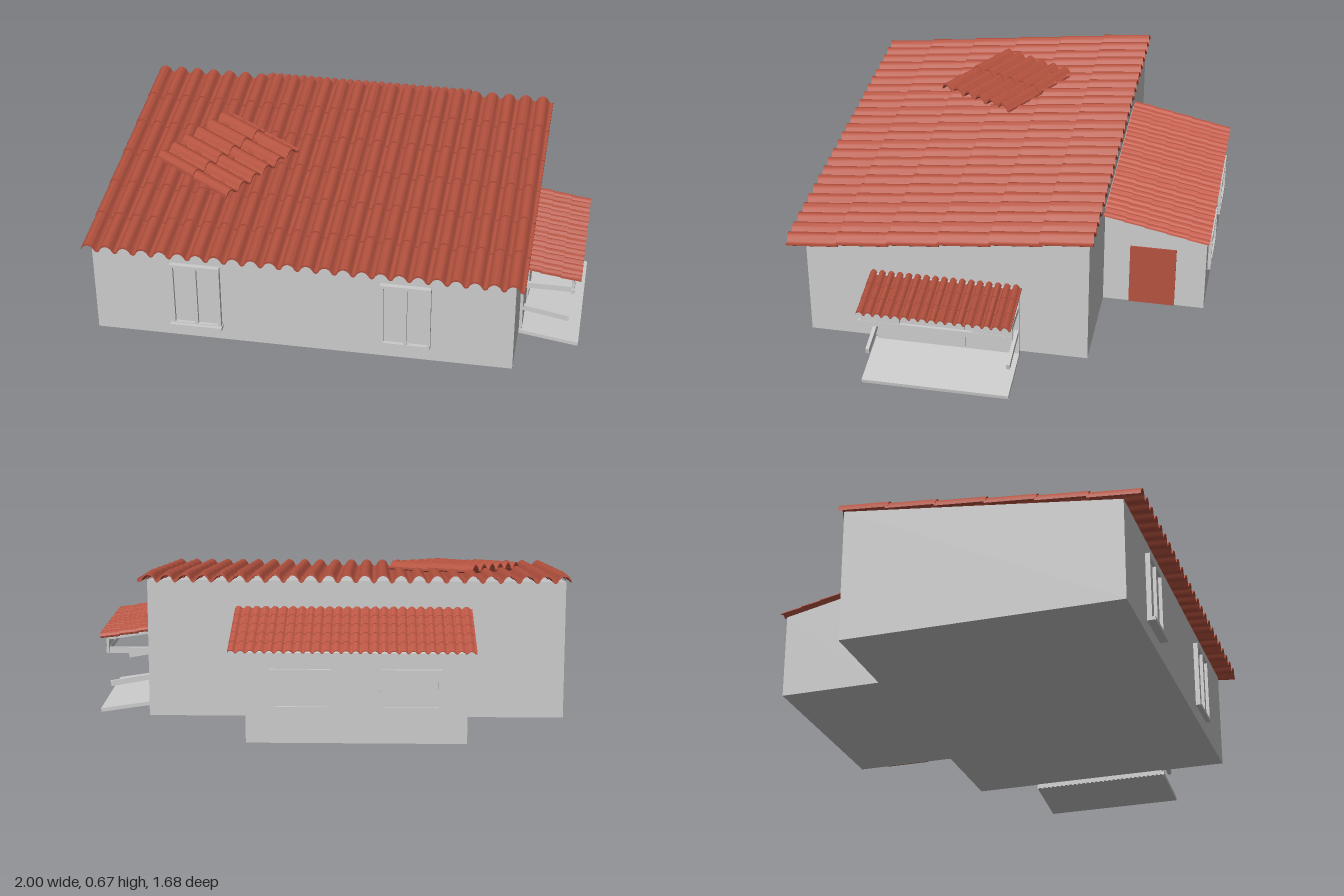
import * as THREE from 'three';
import { toCreasedNormals } from 'three/addons/utils/BufferGeometryUtils.js';

const wallMat = new THREE.MeshStandardMaterial({ color: 0xcccccc });
const tileMat = new THREE.MeshStandardMaterial({ color: 0xb5523f });
const annexTileMat = new THREE.MeshStandardMaterial({ color: 0xc25a48 });

function add(parent, name, geometry, material = wallMat) {
  const mesh = new THREE.Mesh(geometry, material);
  mesh.name = name;
  parent.add(mesh);
  return mesh;
}

// Box given by its limits on each axis
function box(parent, name, [x0, x1], [y0, y1], [z0, z1], material) {
  const mesh = add(parent, name, new THREE.BoxGeometry(x1 - x0, y1 - y0, z1 - z0), material);
  mesh.position.set((x0 + x1) / 2, (y0 + y1) / 2, (z0 + z1) / 2);
  return mesh;
}

// Solid with a side outline of [z, y] points, stretched from x0 to x1
function sideSolid(parent, name, outline, x0, x1) {
  const shape = new THREE.Shape(outline.map(([z, y]) => new THREE.Vector2(-z, y)));
  const geo = new THREE.ExtrudeGeometry(shape, { depth: x1 - x0, bevelEnabled: false });
  geo.rotateY(Math.PI / 2).translate(x0, 0, 0);
  return add(parent, name, geo);
}

// Overlapping rows of rounded tiles; ridges run along z, lower end at +z
function tileField(name, { width, length, cols, rows, height, thick, lift, material }) {
  const group = new THREE.Group();
  group.name = name;
  const pitch = width / cols, top = [];
  for (let c = 0; c < cols; c++) {
    const x = -width / 2 + c * pitch;
    for (let i = 0; i < 8; i++) {
      const t = i / 8;
      top.push([x + t * pitch * 0.76, height * Math.pow(Math.sin(Math.PI * t), 0.7)]);
    }
    for (let i = 0; i < 3; i++) {
      const t = i / 3;
      top.push([x + pitch * (0.76 + 0.24 * t), -0.2 * height * Math.sin(Math.PI * t)]);
    }
  }
  top.push([width / 2, 0]);
  const under = top.map(([x, y]) => [x, y - thick]).reverse();
  const shape = new THREE.Shape([...under, ...top].map(([x, y]) => new THREE.Vector2(x, y)));
  const run = length / rows;
  const geo = toCreasedNormals(
    new THREE.ExtrudeGeometry(shape, { depth: run * 1.03, bevelEnabled: false }), 0.9);
  for (let r = 0; r < rows; r++) {
    const row = add(group, 'tileRow', geo, material);
    row.position.z = -length / 2 + r * run - (r ? run * 0.03 : 0);
    row.rotation.x = -Math.atan2(lift, run);
  }
  return group;
}

// Framed window facing +z with its back on z = 0
function windowUnit(name, w, h, depth, bar, panes) {
  const group = new THREE.Group();
  group.name = name;
  const rect = (S, x, y, a, b) => {
    const s = new S();
    s.moveTo(x, y).lineTo(x + a, y).lineTo(x + a, y + b).lineTo(x, y + b).closePath();
    return s;
  };
  const frame = rect(THREE.Shape, -w / 2, -h / 2, w, h);
  const paneW = (w - bar * (panes + 1)) / panes;
  for (let i = 0; i < panes; i++) {
    frame.holes.push(rect(THREE.Path, -w / 2 + bar + i * (paneW + bar), -h / 2 + bar, paneW, h - 2 * bar));
  }
  add(group, 'windowFrame', new THREE.ExtrudeGeometry(frame, { depth, bevelEnabled: false }));
  box(group, 'windowPane', [-w / 2 + bar, w / 2 - bar], [-h / 2 + bar, h / 2 - bar], [0, depth * 0.3]);
  return group;
}

function buildPorch() {
  const porch = new THREE.Group();
  porch.name = 'porch';
  box(porch, 'porchBackPanel', [0.745, 0.762], [0.04, 0.375], [-0.115, 0.48]);
  // Sloping floor slab
  const slab = box(porch, 'porchFloor', [0.748, 1.0], [0.02, 0.036], [-0.115, 0.49]);
  slab.rotation.z = -0.15;
  // Side rails, beams and rafters, one set per end
  for (const z of [-0.113, 0.465]) {
    const rail = box(porch, 'sideRail', [0.762, 0.955], [0.133, 0.157], [z, z + 0.015]);
    rail.rotation.z = -0.18;
    box(porch, 'sideBeam', [0.762, 0.965], [0.265, 0.29], [z, z + 0.015]);
    const rafter = box(porch, 'rafter', [0.762, 0.97], [0.338, 0.35], [z, z + 0.015]);
    rafter.rotation.z = -0.15;
  }
  box(porch, 'frontBeam', [0.955, 0.968], [0.268, 0.29], [-0.125, 0.5]);
  for (const z of [-0.125, 0.33]) {
    box(porch, 'cornerPlate', [0.956, 0.966], [0.29, 0.33], [z, z + 0.16]);
  }
  box(porch, 'porchDoor', [0.762, 0.77], [0.065, 0.265], [0.11, 0.265]);
  const roof = tileField('porchRoof', {
    width: 0.625, length: 0.25, cols: 17, rows: 3, height: 0.015, thick: 0.006, lift: 0.004, material: tileMat,
  });
  roof.rotation.set(0.16, Math.PI / 2, 0, 'YXZ');
  roof.position.set(0.87, 0.356, 0.188);
  porch.add(roof);
  return porch;
}

export function createModel() {
  const house = new THREE.Group();
  house.name = 'house';

  // Main body and lean-to at the back
  sideSolid(house, 'mainWalls', [[0.765, 0.06], [-0.395, 0.06], [-0.395, 0.636], [0.765, 0.488]], -0.98, 0.75);
  sideSolid(house, 'annexWalls', [[-0.39, 0.06], [-0.825, 0.06], [-0.825, 0.425], [-0.39, 0.516]], -0.56, 0.315);
  box(house, 'annexDoor', [0.31, 0.32], [0.06, 0.34], [-0.7, -0.505], tileMat);

  // Main roof with a loose square of tiles lying askew on it
  const roof = tileField('mainRoof', {
    width: 1.79, length: 1.26, cols: 24, rows: 6, height: 0.026, thick: 0.009, lift: 0.007, material: tileMat,
  });
  roof.rotation.x = 0.1215;
  roof.position.set(-0.105, 0.567, 0.212);
  const patch = tileField('looseTiles', {
    width: 0.43, length: 0.42, cols: 6, rows: 2, height: 0.024, thick: 0.009, lift: 0.007, material: tileMat,
  });
  patch.rotation.y = 0.996;
  patch.position.set(-0.437, 0.026, -0.032);
  roof.add(patch);
  house.add(roof);

  // Lean-to roof, falling towards the back
  const annexRoof = tileField('annexRoof', {
    width: 0.98, length: 0.45, cols: 26, rows: 5, height: 0.009, thick: 0.004, lift: 0.003, material: annexTileMat,
  });
  annexRoof.rotation.set(0.212, Math.PI, 0, 'YXZ');
  annexRoof.position.set(-0.105, 0.474, -0.618);
  house.add(annexRoof);

  // Front windows
  for (const x of [-0.552, 0.312]) {
    const win = windowUnit('frontWindow', 0.206, 0.295, 0.02, 0.014, 2);
    win.position.set(x, 0.272, 0.765);
    house.add(win);
  }
  box(house, 'windowSill', [-0.66, -0.445], [0.12, 0.135], [0.765, 0.8]);

  // Back windows
  for (const x of [0.1, -0.338]) {
    const win = windowUnit('backWindow', 0.24, 0.165, 0.014, 0.015, 1);
    win.rotation.y = Math.PI;
    win.position.set(x, 0.278, -0.825);
    house.add(win);
  }

  house.add(buildPorch());
  return house;
}
